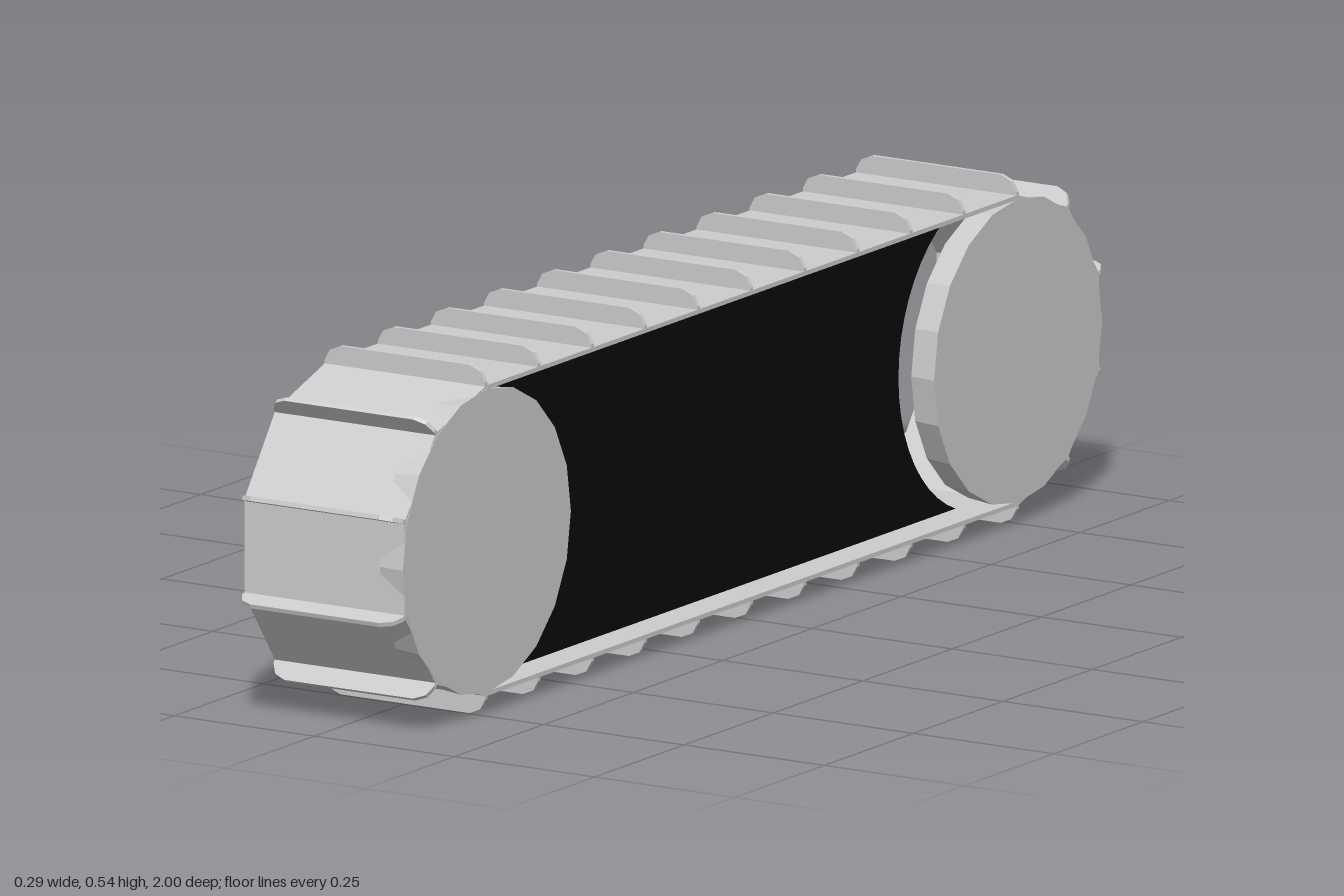
import * as THREE from 'three';

const CY = 0.269, CZ = 0.743;      // wheel axle height and distance from centre
const HALF = 0.143;                // half width of the track
const STEP = Math.PI / 5;          // angle between cleats on the round ends

// Points around the track: 5 facets per end, 10 links per straight run
function loopStations() {
  const list = [];
  for (let i = 0; i < 10; i++) list.push({ z: -CZ + i * CZ / 5, a: Math.PI / 2 });
  for (let i = 0; i < 5; i++) list.push({ z: CZ, a: Math.PI / 2 - i * STEP });
  for (let i = 0; i < 10; i++) list.push({ z: CZ - i * CZ / 5, a: -Math.PI / 2 });
  for (let i = 0; i < 5; i++) list.push({ z: -CZ, a: -Math.PI / 2 - i * STEP });
  return list;
}

// Outline in the side plane (shape x = -z, shape y = y)
function loopPoints(r) {
  return loopStations().map(({ z, a }) =>
    new THREE.Vector2(-(z + r * Math.cos(a)), CY + r * Math.sin(a)));
}

export function createModel() {
  const model = new THREE.Group();
  model.name = 'trackUnit';
  const grey = new THREE.MeshStandardMaterial({ color: 0xcccccc, flatShading: true });
  grey.name = 'light grey';
  const black = new THREE.MeshStandardMaterial({ color: 0x090909, side: THREE.DoubleSide });
  black.name = 'black';

  const add = (geometry, material, name, parent = model) => {
    const mesh = new THREE.Mesh(geometry, material);
    mesh.name = name;
    parent.add(mesh);
    return mesh;
  };

  // Belt: thin closed band
  const band = new THREE.Shape(loopPoints(0.24));
  band.holes.push(new THREE.Path(loopPoints(0.233)));
  const beltGeo = new THREE.ExtrudeGeometry(band, { depth: HALF * 2, bevelEnabled: false });
  beltGeo.translate(0, 0, -HALF).rotateY(Math.PI / 2);
  add(beltGeo, grey, 'belt');

  // Cleats: thin plates with clipped outer corners
  const plate = new THREE.Shape([
    [-HALF, -0.004], [HALF, -0.004], [HALF, 0.005], [0.134, 0.021],
    [0.115, 0.029], [-0.115, 0.029], [-0.134, 0.021], [-HALF, 0.005],
  ].map(([x, y]) => new THREE.Vector2(x, y)));
  const cleatGeo = new THREE.ExtrudeGeometry(plate, { depth: 0.007, bevelEnabled: false });
  cleatGeo.translate(0, 0, -0.0035);
  const cleats = new THREE.Group();
  cleats.name = 'cleats';
  model.add(cleats);
  for (const { z, a } of loopStations()) {
    const cleat = add(cleatGeo, grey, 'cleat', cleats);
    cleat.position.set(0, CY + 0.24 * Math.sin(a), z + 0.24 * Math.cos(a));
    cleat.rotation.x = Math.PI / 2 - a;
  }

  // Wheels: shallow tapered discs on the left side only
  for (const end of [1, -1]) {
    const wheelGeo = new THREE.CylinderGeometry(0.235, 0.23, 0.044, 20);
    wheelGeo.rotateZ(-Math.PI / 2);
    add(wheelGeo, grey, end > 0 ? 'frontWheel' : 'rearWheel')
      .position.set(0.122, CY, end * CZ);
  }

  // Side panels: flat sheets with round cut-outs around the wheels
  const R = 0.25, H = 0.234;
  const edge = Math.asin(H / R);
  const panel = new THREE.Shape();
  panel.absarc(-CZ, CY, R, -edge, edge, false);
  panel.absarc(CZ, CY, R, Math.PI - edge, Math.PI + edge, false);
  const panelGeo = new THREE.ShapeGeometry(panel, 10);
  panelGeo.rotateY(Math.PI / 2);
  for (const side of [1, -1]) {
    add(panelGeo, black, side > 0 ? 'leftPanel' : 'rightPanel').position.x = side * 0.09;
  }

  return model;
}
